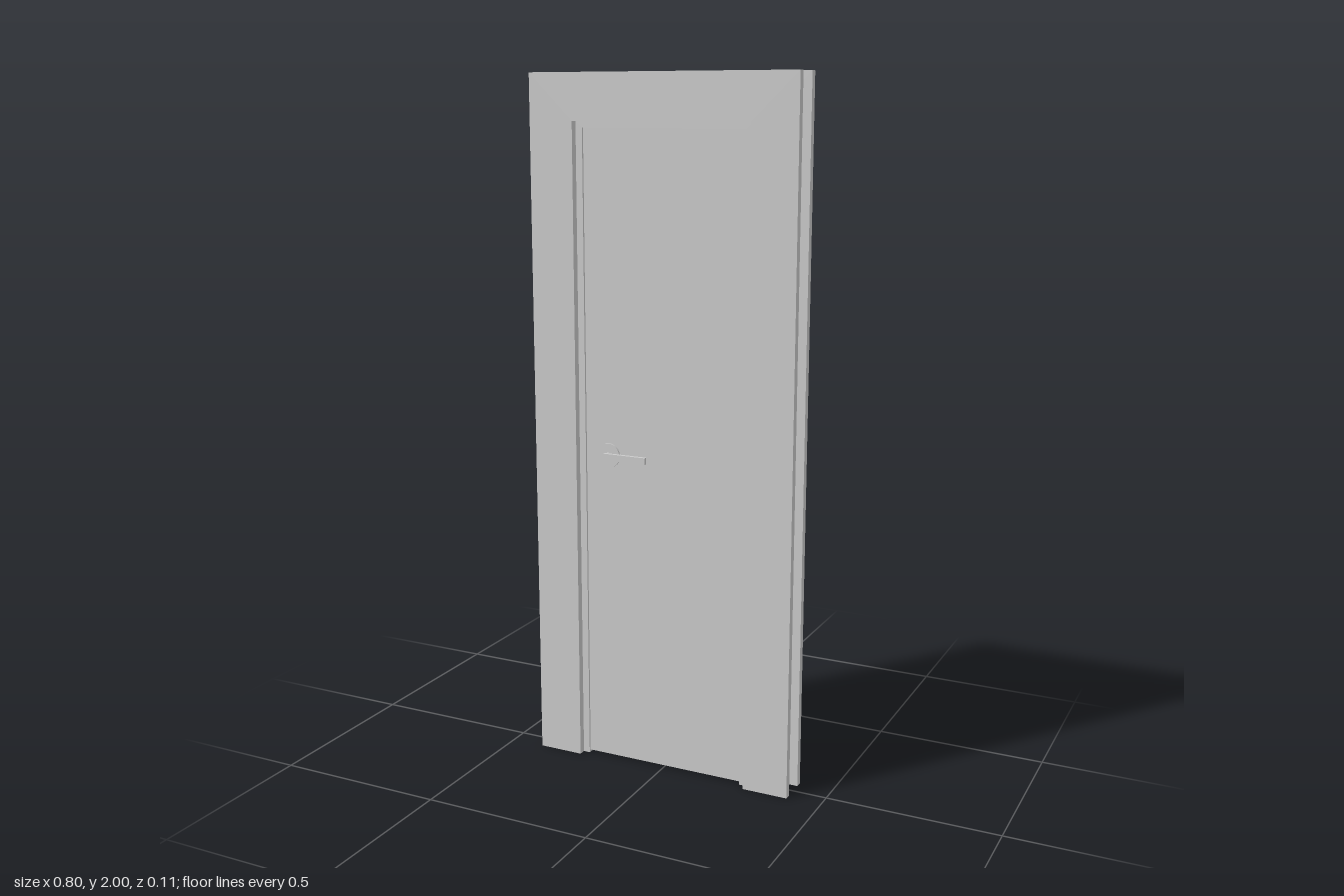
import * as THREE from 'three';

const material = new THREE.MeshStandardMaterial({ color: 0xcccccc });

function add(parent, name, geometry, x = 0, y = 0, z = 0) {
  const mesh = new THREE.Mesh(geometry, material);
  mesh.name = name;
  mesh.position.set(x, y, z);
  parent.add(mesh);
  return mesh;
}

// Upside-down U, open at the floor, extruded from z0 to z1
function portal(parent, name, outerX, outerY, innerX, innerY, z0, z1) {
  const shape = new THREE.Shape([
    [-outerX, 0], [-innerX, 0], [-innerX, innerY], [innerX, innerY],
    [innerX, 0], [outerX, 0], [outerX, outerY], [-outerX, outerY],
  ].map(([x, y]) => new THREE.Vector2(x, y)));
  const geometry = new THREE.ExtrudeGeometry(shape, { depth: z1 - z0, bevelEnabled: false });
  return add(parent, name, geometry, 0, 0, z0);
}

// Lever handle pointing to +x; reach is how far it stands off the leaf along +z
function createHandle(name, reach) {
  const leverDepth = 0.01;
  const neckLength = reach - leverDepth / 2;
  const handle = new THREE.Group();
  handle.name = name;
  const rose = add(handle, 'rosette', new THREE.CylinderGeometry(0.036, 0.036, 0.005, 32), 0, 0, 0.0025);
  const neck = add(handle, 'neck', new THREE.CylinderGeometry(0.009, 0.009, neckLength, 20), 0, 0, neckLength / 2);
  rose.rotation.x = neck.rotation.x = Math.PI / 2;

  const grip = new THREE.Shape();
  grip.moveTo(0.128, -0.01);
  grip.lineTo(0.128, 0.01);
  grip.lineTo(-0.001, 0.01);
  grip.absarc(-0.001, 0, 0.01, Math.PI / 2, Math.PI * 1.5, false);
  grip.closePath();
  const lever = new THREE.ExtrudeGeometry(grip, { depth: leverDepth, bevelEnabled: false });
  add(handle, 'lever', lever, 0, 0, reach - leverDepth);
  return handle;
}

export function createModel() {
  const model = new THREE.Group();
  model.name = 'door';

  // Flat casings on both wall faces
  portal(model, 'frontCasing', 0.4, 2, 0.266, 1.87, 0.032, 0.053);
  portal(model, 'backCasing', 0.4, 2, 0.266, 1.87, -0.053, -0.033);

  // Rebated lining: wide in front for the leaf, narrower behind it as a stop
  portal(model, 'jamb', 0.286, 1.89, 0.246, 1.852, 0, 0.032);
  portal(model, 'doorStop', 0.286, 1.89, 0.238, 1.843, -0.033, 0);

  // Leaf sits in the rebate, just clear of the floor
  add(model, 'doorLeaf', new THREE.BoxGeometry(0.492, 1.845, 0.026), 0, 0.9295, 0.013);

  // Handles on both sides
  const front = createHandle('frontHandle', 0.027);
  front.position.set(-0.174, 0.932, 0.026);
  const back = createHandle('backHandle', 0.053);
  back.position.set(-0.174, 0.932, 0);
  back.rotation.x = Math.PI;
  model.add(front, back);

  return model;
}
